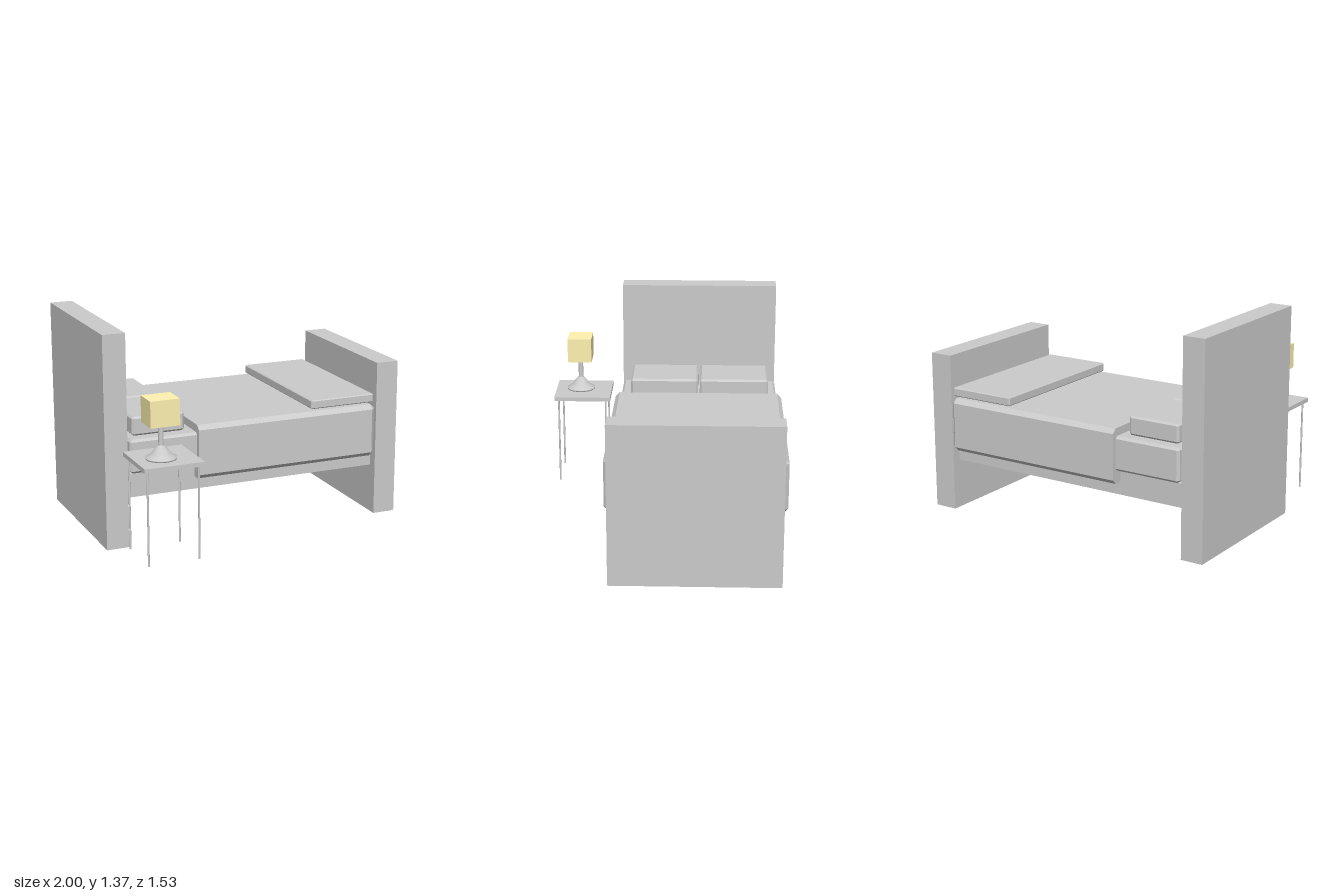
import * as THREE from 'three';
import { ConvexGeometry } from 'three/addons/geometries/ConvexGeometry.js';

const grey = new THREE.MeshStandardMaterial({ color: 0xcccccc });
const cream = new THREE.MeshStandardMaterial({ color: 0xfff2b0 });

function add(parent, name, geometry, material = grey) {
  const mesh = new THREE.Mesh(geometry, material);
  mesh.name = name;
  parent.add(mesh);
  return mesh;
}

// Sharp-edged box given by its limits on each axis
function slab(parent, name, [x0, x1], [y0, y1], [z0, z1], material) {
  const mesh = add(parent, name, new THREE.BoxGeometry(x1 - x0, y1 - y0, z1 - z0), material);
  mesh.position.set((x0 + x1) / 2, (y0 + y1) / 2, (z0 + z1) / 2);
  return mesh;
}

// Box with chamfered edges; the -x end may be cut off square
function padded(parent, name, xs, ys, zs, c, squareEnd = false) {
  const points = [];
  for (const i of [0, 1]) for (const j of [0, 1]) for (const k of [0, 1]) {
    const x = xs[i], y = ys[j], z = zs[k];
    const xi = x + (i ? -c : c), yi = y + (j ? -c : c), zi = z + (k ? -c : c);
    const xSide = squareEnd && i === 0 ? x : xi;
    points.push(new THREE.Vector3(xSide, y, zi), new THREE.Vector3(xSide, yi, z));
    if (xSide !== x) points.push(new THREE.Vector3(x, yi, zi));
  }
  return add(parent, name, new ConvexGeometry(points));
}

export function createModel() {
  const model = new THREE.Group();
  model.name = 'bedWithSideTable';

  // Bed frame
  const bed = new THREE.Group();
  bed.name = 'bed';
  model.add(bed);
  const width = [-0.735, 0.312];
  slab(bed, 'headboard', [-1, -0.855], [0.02, 1.37], width);
  slab(bed, 'footboard', [0.85, 1], [0, 1.02], width);
  slab(bed, 'bedBase', [-0.857, 0.842], [0.323, 0.472], [-0.687, 0.262]);

  // Bedding
  padded(bed, 'mattress', [-0.835, 0.8], [0.485, 0.7], [-0.737, 0.308], 0.015);
  padded(bed, 'blanket', [-0.4, 0.835], [0.405, 0.75], [-0.766, 0.34], 0.028, true);
  padded(bed, 'foldedThrow', [0.387, 0.832], [0.76, 0.816], [-0.737, 0.305], 0.006);
  for (const zs of [[-0.68, -0.222], [-0.21, 0.24]]) {
    padded(bed, 'pillow', [-0.797, -0.455], [0.704, 0.824], zs, 0.012);
  }

  // Side table with four thin legs
  const table = new THREE.Group();
  table.name = 'sideTable';
  model.add(table);
  slab(table, 'tableTop', [-0.912, -0.535], [0.636, 0.663], [0.388, 0.768]);
  for (const x of [-0.886, -0.564]) for (const z of [0.42, 0.74]) {
    const leg = add(table, 'tableLeg', new THREE.CylinderGeometry(0.006, 0.006, 0.588, 12));
    leg.position.set(x, 0.344, z);
  }

  // Lamp: turned foot and stem under a box shade
  const lamp = new THREE.Group();
  lamp.name = 'lamp';
  model.add(lamp);
  const profile = [
    [0, 0.663], [0.094, 0.663], [0.094, 0.672], [0.075, 0.681], [0.055, 0.7],
    [0.037, 0.727], [0.02, 0.744], [0.016, 0.75], [0.016, 0.88],
  ].map(([r, y]) => new THREE.Vector2(r, y));
  const foot = add(lamp, 'lampStand', new THREE.LatheGeometry(profile, 32));
  foot.position.set(-0.747, 0, 0.601);
  slab(lamp, 'lampShade', [-0.84, -0.655], [0.876, 1.038], [0.52, 0.681], cream);

  return model;
}
